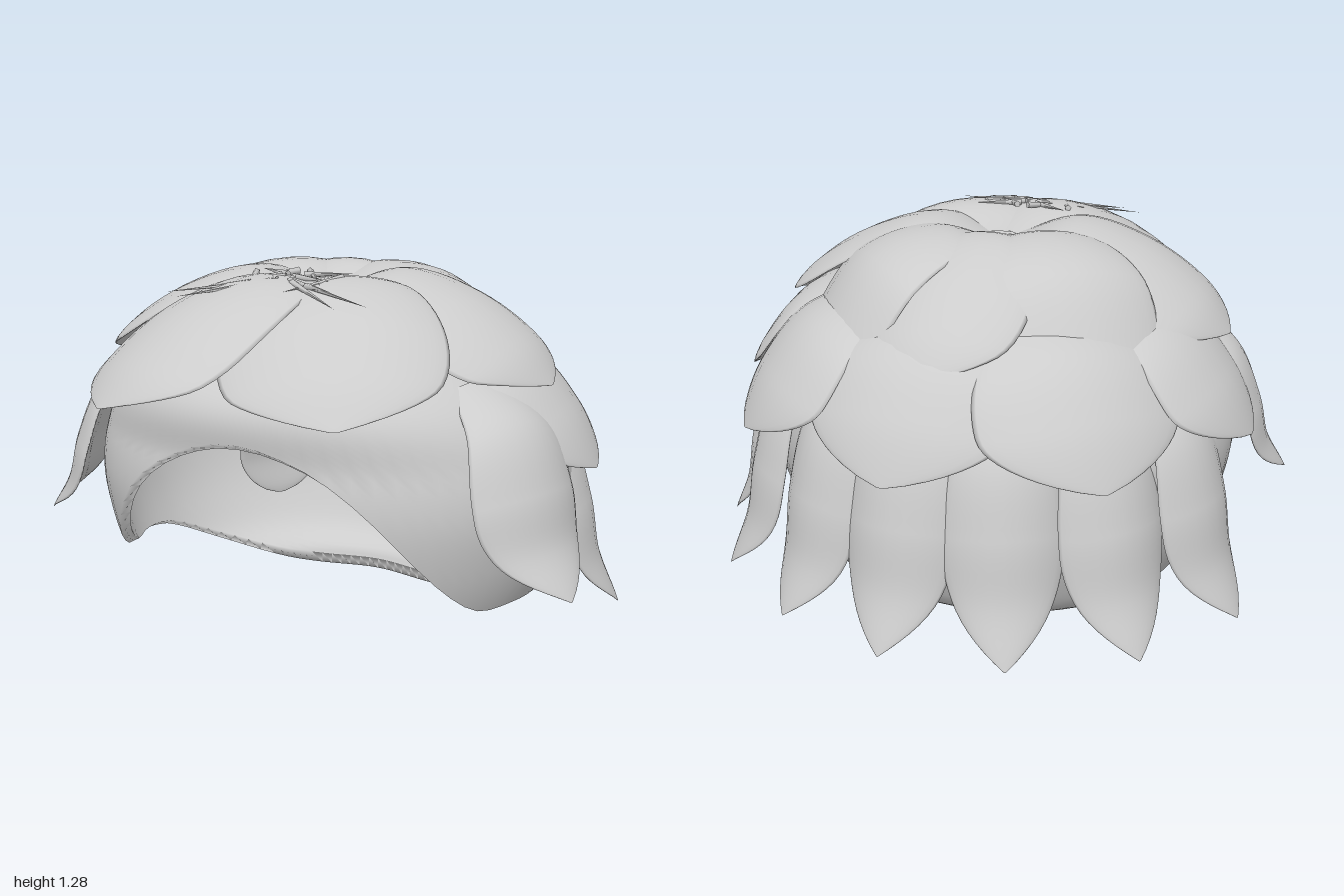
import * as THREE from 'three';
import { ParametricGeometry } from 'three/addons/geometries/ParametricGeometry.js';

const rad = THREE.MathUtils.degToRad;
const curve = (pts) => new THREE.CatmullRomCurve3(pts.map(([r, y]) => new THREE.Vector3(r, y, 0)), false, 'centripetal');
const soften = (n) => Math.sign(n) * Math.pow(Math.abs(n), 0.92);

// Open-fronted cap: a profile swept round, cut off at a hem that varies with direction
const profile = [[0, 1.14], [0.5, 1.07], [0.8, 0.92], [0.95, 0.76], [1, 0.58], [0.97, 0.38], [0.9, 0.21], [0.8, 0.07], [0.66, 0], [0.5, 0]];
const hemAngles = [-20, 0, 20, 40, 50, 60, 75, 90, 110, 130, 150, 180, 210];
const hemSteps = [3.5, 2.9, 3.5, 4.85, 5.5, 5.95, 6.05, 6.25, 7, 8, 8.9, 9, 8.9];
const hem = new THREE.CubicInterpolant(hemAngles, hemSteps, 1, new Float32Array(1));

function capGeometry() {
  const path = curve(profile);
  const p = new THREE.Vector3(), t = new THREE.Vector3();
  return new ParametricGeometry((u, v, out) => {
    const a = Math.PI - u * Math.PI * 2;
    const end = hem.evaluate(Math.abs(a) * 180 / Math.PI)[0] / 9;
    // outside going down, then inside going back up
    const inset = v > 0.5 ? 0.038 : 0;
    const s = Math.min(1, Math.max(0.001, (inset ? 2 - 2 * v : 2 * v) * end));
    path.getPoint(s, p);
    path.getTangent(s, t);
    const k = Math.max(0.001, p.x + t.y * inset * 1.25);
    const front = Math.cos(a) > 0;
    const sx = front ? soften(Math.sin(a)) : Math.sin(a);
    const sz = front ? soften(Math.cos(a)) : Math.cos(a);
    // the brow stands nearly upright
    const depth = front ? 0.71 + 0.12 * THREE.MathUtils.smoothstep(p.y, 0.7, 0.95) : 0.72;
    out.set(sx * k * 0.85, p.y - t.x * inset, 0.04 + sz * k * depth);
  }, 72, 57);
}

// Leaf with a lens-shaped section, following a path of [radius, height] outward at an angle
function petalGeometry({ angle, path, width, cup = 0.08, tilt = 0, base = 0.3, thick = 0.025, z = 0, peak = 0.6, point = 0.85 }) {
  const c = curve(path), a = rad(angle);
  const p = new THREE.Vector3(), t = new THREE.Vector3();
  return new ParametricGeometry((u, v, out) => {
    const s = Math.min(v, 0.997);
    c.getPoint(s, p);
    c.getTangent(s, t);
    let f = base + (1 - base) * Math.sin(Math.min(s / peak, 1) * Math.PI / 2);
    if (s > peak) f *= Math.pow(1 - Math.pow((s - peak) / (1 - peak), 2.1), point);
    const w = Math.cos(u * Math.PI * 2) * f;
    const n = thick * f * Math.sin(u * Math.PI * 2) - cup * w * w + tilt * w;
    const r = p.x - t.y * n, side = w * width;
    out.set(
      Math.sin(a) * r + Math.cos(a) * side,
      p.y + t.x * n,
      z + Math.cos(a) * r - Math.sin(a) * side);
  }, 24, 26);
}

export function createModel() {
  const group = new THREE.Group();
  const grey = new THREE.MeshStandardMaterial({ color: 0xcccccc, side: THREE.DoubleSide });
  grey.name = 'plain grey';
  const add = (name, geometry) => {
    const mesh = new THREE.Mesh(geometry, grey);
    mesh.name = name;
    group.add(mesh);
    return mesh;
  };

  add('cap', capGeometry());

  // Crown of broad petals: angle, tip radius, tip height, half width
  const crown = [[-23.5, 0.91, 0.9, 0.35], [28, 0.86, 0.9, 0.35], [91, 0.8, 0.92, 0.33], [-85, 0.81, 0.92, 0.33], [139, 0.83, 0.78, 0.34], [-139, 0.83, 0.78, 0.34], [180, 0.77, 0.91, 0.3]];
  for (const [angle, r, y, width] of crown) {
    add('crownPetal', petalGeometry({
      angle, width, cup: 0.085, tilt: 0.03, z: 0.08, thick: 0.018,
      path: [[0.05, 1.19], [r * 0.3, 1.245], [r * 0.6, 1.175], [r * 0.86, y + 0.12], [r, y]],
    }));
  }

  // Middle tier
  for (const [angle, r] of [[91, 0.94], [-91, 0.94], [135, 0.9], [-135, 0.9], [180, 0.86]]) {
    add('middlePetal', petalGeometry({
      angle, width: 0.34, cup: 0.08, base: 0.6, thick: 0.02,
      path: [[r * 0.45, 1.08], [r * 0.72, 0.98], [r * 0.88, 0.82], [r, 0.64]],
    }));
  }

  // Long lower petals with flared tips: angle, tip radius, top height, tip height, half width
  const long = [[180, 0.92, 0.86, 0.08, 0.19]];
  for (const s of [1, -1]) {
    long.push([s * 154.5, 0.93, 0.86, 0.08, 0.19], [s * 129, 0.98, 0.86, 0.08, 0.19], [s * 104.5, 1.02, 0.86, 0.08, 0.2], [s * 67, 1.08, 0.95, 0.34, 0.23]);
  }
  for (const [angle, r, top, tip, width] of long) {
    const h = top - tip;
    add('longPetal', petalGeometry({
      angle, width, cup: 0.06, base: 0.5, thick: 0.025, peak: 0.55, point: 1,
      path: [[r * 0.62, top], [r * 0.78, tip + h * 0.8], [r * 0.86, tip + h * 0.5], [r * 0.905, tip + h * 0.23], [r, tip]],
    }));
  }

  // Rounded panels on the inside of the back, leaning in at the top
  for (const angle of [180, 154, -154, 129, -129]) {
    add('innerPanel', petalGeometry({
      angle, width: 0.18, cup: 0.03, base: 1, thick: 0.02, point: 0.6,
      path: [[0.52, 0.61], [0.59, 0.52], [0.62, 0.4], [0.6, 0.24]],
    }));
  }

  // Thin stamens lying across the front of the crown: start x, z, end x, z
  const stamens = [[0.02, 0.4, 0.36, 0.54], [0.03, 0.32, 0.17, 0.24], [0.02, 0.35, 0.2, 0.38], [0.04, 0.42, 0.28, 0.6], [0.16, 0.3, 0.06, 0.52], [0.1, 0.44, 0.2, 0.47], [0.02, 0.26, 0.14, 0.42]];
  const up = new THREE.Vector3(0, 1, 0);
  const onCrown = (x, z) => new THREE.Vector3(x, 1.275 - 0.16 * (x * x + z * z), z);
  for (const s of [1, -1]) {
    for (const [x0, z0, x1, z1] of stamens) {
      const a = onCrown(s * x0, z0), b = onCrown(s * x1, z1);
      const d = b.clone().sub(a);
      const mesh = add('stamen', new THREE.ConeGeometry(0.012, d.length(), 5));
      mesh.position.copy(a).add(b).multiplyScalar(0.5);
      mesh.quaternion.setFromUnitVectors(up, d.normalize());
    }
  }
  return group;
}
